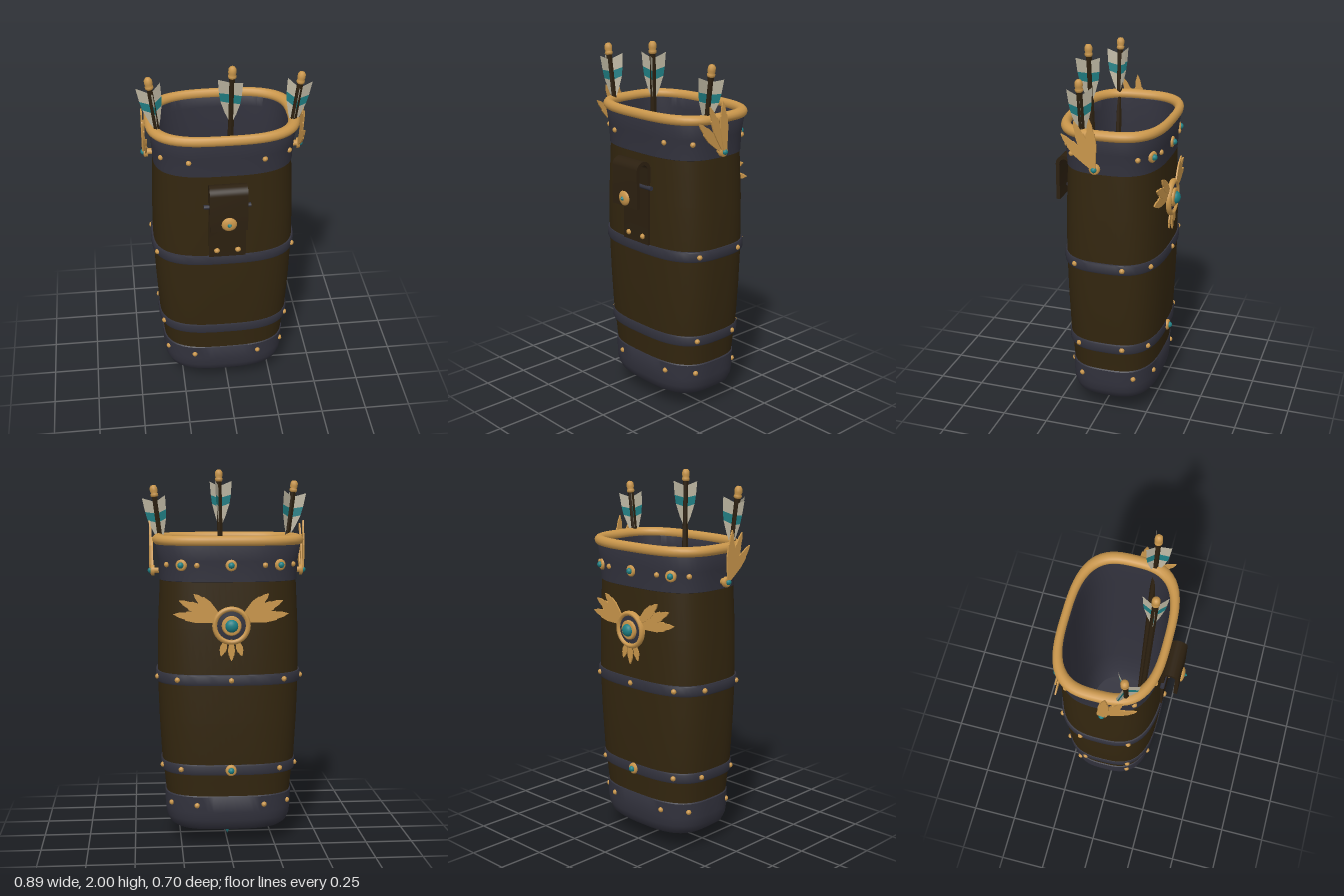
import * as THREE from 'three';
import { toCreasedNormals, mergeVertices } from 'three/addons/utils/BufferGeometryUtils.js';

const mat = (name, color, side = THREE.FrontSide) => {
  const m = new THREE.MeshStandardMaterial({ color, side });
  m.name = name;
  return m;
};
const UP = new THREE.Vector3(0, 1, 0);
const POWER = 3;      // roundness of the squarish oval section
const DEPTH = 0.705;  // depth of the section relative to its width

export function createModel() {
  const leather = mat('brown leather', 0x33260f);
  const strapLeather = mat('dark strap leather', 0x2c2010);
  const slate = mat('slate leather', 0x32323d);
  const gold = mat('gold', 0xc9964b);
  const teal = mat('teal gem', 0x1d7f84);
  const vaneWhite = mat('pale feather', 0xbab39f, THREE.DoubleSide);
  const vaneTeal = mat('teal feather', 0x1f7d82, THREE.DoubleSide);

  const root = new THREE.Group();
  root.name = 'quiver';
  const body = new THREE.Group();
  body.name = 'quiverBody';
  body.position.set(-0.01, 0, -0.034);
  root.add(body);

  const add = (parent, name, geo, material, x = 0, y = 0, z = 0) => {
    const m = new THREE.Mesh(geo, material);
    m.name = name;
    m.position.set(x, y, z);
    parent.add(m);
    return m;
  };
  const lathe = (pts, seg) => new THREE.LatheGeometry(pts.map(p => new THREE.Vector2(...p)), seg);

  // Lathe reshaped to a squarish oval; profile is [half width, height]
  const shell = (name, profile, material) => {
    const geo = lathe(profile, 72);
    const p = geo.attributes.position;
    for (let i = 0; i < p.count; i++) {
      const x = p.getX(i), z = p.getZ(i), r = Math.hypot(x, z);
      if (r < 1e-6) continue;
      const k = r / Math.pow(Math.abs(x) ** POWER + Math.abs(z) ** POWER, 1 / POWER);
      p.setXYZ(i, x * k, p.getY(i), z * k * DEPTH);
    }
    geo.deleteAttribute('uv');
    geo.deleteAttribute('normal');
    return add(body, name, toCreasedNormals(mergeVertices(geo, 1e-5), 0.7), material);
  };

  // Walls, lining and cuffs
  shell('leatherBody', [[0.335, 0.26], [0.345, 0.36], [0.358, 0.46], [0.37, 0.68], [0.378, 0.92],
    [0.374, 1.18], [0.362, 1.43]], leather);
  shell('lining', [[0.362, 1.63], [0.345, 1.615], [0.341, 1.56], [0.338, 1.42], [0.348, 0.92],
    [0.325, 0.4], [0.305, 0.2], [0.27, 0.14], [0, 0.13]], slate);
  shell('bottomCuff', [[0, 0.08], [0.25, 0.08], [0.29, 0.088], [0.318, 0.108], [0.335, 0.145],
    [0.341, 0.19], [0.343, 0.275], [0.334, 0.283]], slate);
  shell('topCuff', [[0.355, 1.42], [0.366, 1.425], [0.367, 1.45], [0.372, 1.53], [0.385, 1.61],
    [0.376, 1.63]], slate);
  const rim = [];
  for (let i = 0; i <= 14; i++) {
    const a = (i / 14) * Math.PI * 2;
    rim.push([0.37 + 0.031 * Math.cos(a), 1.633 + 0.027 * Math.sin(a)]);
  }
  shell('goldRim', rim, gold);
  const strapBand = (name, y, r) => shell(name, [[r - 0.02, y - 0.03], [r - 0.004, y - 0.028],
    [r, y - 0.02], [r, y + 0.02], [r - 0.004, y + 0.028], [r - 0.02, y + 0.03]], slate);
  strapBand('middleBand', 0.912, 0.389);
  strapBand('lowerBand', 0.427, 0.364);

  // Domed stud pointing along dir, with an optional gem
  const stud = (name, pos, dir, R, gem) => {
    const s = new THREE.Group();
    s.name = name;
    s.position.copy(pos);
    s.quaternion.setFromUnitVectors(UP, dir.clone().normalize());
    add(s, 'studCap', lathe(gem
      ? [[R, -0.01], [R, R * 0.2], [R * 0.82, R * 0.36], [R * 0.6, R * 0.4], [0, R * 0.42]]
      : [[R, -0.008], [R, R * 0.3], [R * 0.7, R * 0.75], [0, R]], 14), gold);
    if (gem) add(s, 'studGem', new THREE.SphereGeometry(R * 0.55, 12, 8), teal, 0, R * 0.42, 0);
    body.add(s);
    return s;
  };
  const rivet = (y, r, degrees, gem = false) => {
    const a = THREE.MathUtils.degToRad(degrees), c = Math.cos(a), s = Math.sin(a);
    const k = Math.pow(Math.abs(c / r) ** POWER + Math.abs(s / (r * DEPTH)) ** POWER, -1 / POWER);
    const x = c * k, z = s * k;
    const normal = new THREE.Vector3(Math.sign(x) * Math.abs(x / r) ** 2, 0,
      Math.sign(z) * Math.abs(z / (r * DEPTH)) ** 2 / DEPTH);
    stud(gem ? 'gemStud' : 'rivet', new THREE.Vector3(x, y, z), normal, gem ? 0.03 : 0.014, gem);
  };
  for (const side of [0, 1]) {
    const turn = d => (side ? 180 - d : d);
    for (const d of [52, 28, -28, -55]) rivet(1.51, 0.371, turn(d));
    for (const d of [52, 23, -26, -52]) rivet(0.23, 0.342, turn(d));
    for (const d of [23, -16, -40]) {
      rivet(0.912, 0.389, turn(d));
      rivet(0.427, 0.364, turn(d));
    }
    rivet(1.51, 0.371, turn(-42), true);
  }
  rivet(1.51, 0.371, -90, true);
  rivet(0.427, 0.364, -90, true);
  rivet(0.912, 0.389, -90);

  // Thin gold feather growing from (x0,y0) to (x1,y1) in its parent's plane
  const feather = (parent, x0, y0, x1, y1, w) => {
    const L = Math.hypot(x1 - x0, y1 - y0);
    const half = [[0.3, 0], [0.7, 0.25], [1, 0.5], [0.85, 0.72], [0.65, 0.74], [0.45, 0.88]];
    const pts = [...half.map(([a, b]) => [a * w, b * L]), [0, L],
      ...half.slice().reverse().map(([a, b]) => [-a * w, b * L])];
    const shape = new THREE.Shape(pts.map(p => new THREE.Vector2(...p)));
    const geo = new THREE.ExtrudeGeometry(shape, { depth: 0.008, bevelEnabled: false });
    geo.translate(0, 0, -0.004);
    const m = add(parent, 'goldFeather', geo, gold, x0, y0, 0);
    m.rotation.z = -Math.atan2(x1 - x0, y1 - y0);
    return m;
  };

  // Feather wings on both sides of the top cuff
  for (const s of [-1, 1]) {
    const wing = new THREE.Group();
    wing.name = s > 0 ? 'leftWing' : 'rightWing';
    wing.position.set(s * 0.4, 1.465, 0.029);
    wing.rotation.y = -Math.PI / 2;
    body.add(wing);
    [[0.175, 0.17], [0.105, 0.245], [0.022, 0.265]].forEach(([x, y], i) => {
      feather(wing, 0, -0.005, x, y, 0.027).position.z = -s * i * 0.007;
    });
    stud('wingStud', new THREE.Vector3(s * 0.4, 1.465, 0.029), new THREE.Vector3(s, 0, 0), 0.028, true);
    const post = add(body, 'wingPost', new THREE.CylinderGeometry(0.016, 0.016, 0.05, 10), gold, s * 0.382, 1.465, 0.029);
    post.rotation.z = Math.PI / 2;
  }

  // Back medallion with side wings and a small tail
  const crest = new THREE.Group();
  crest.name = 'backMedallion';
  crest.position.set(0, 1.2, -0.262);
  crest.rotation.y = Math.PI;
  body.add(crest);
  for (const s of [-1, 1]) {
    const fan = new THREE.Group();
    fan.name = 'medallionWing';
    fan.rotation.y = s * 0.05;
    fan.position.z = 0.006;
    crest.add(fan);
    [[0.3, 0.06], [0.27, 0.13], [0.195, 0.165]].forEach(([x, y], i) => {
      feather(fan, s * 0.06, 0.025 + 0.01 * i, s * x, y, 0.028).position.z = i * 0.003;
    });
  }
  [[-0.055, -0.16], [0, -0.185], [0.055, -0.16]].forEach(([x, y], i) => {
    feather(crest, x * 0.5, -0.07, x, y, 0.018).position.z = 0.008 + (i % 2) * 0.003;
  });
  const disc = new THREE.Group();
  disc.name = 'medallionDisc';
  disc.rotation.x = Math.PI / 2;
  crest.add(disc);
  add(disc, 'medallionRim', lathe([[0.097, -0.01], [0.1, 0.012], [0.092, 0.024], [0.08, 0.024], [0.074, 0.012]], 32), gold);
  add(disc, 'medallionInlay', lathe([[0.08, 0.012], [0.045, 0.016]], 32), slate);
  add(disc, 'medallionBoss', lathe([[0.052, 0.008], [0.051, 0.024], [0.044, 0.03], [0, 0.03]], 24), gold);
  const gem = add(disc, 'medallionGem', new THREE.SphereGeometry(0.034, 16, 10), teal, 0, 0.028, 0);
  gem.scale.y = 0.75;

  // Folded belt loop on the front, as a side profile extruded across
  const loop = new THREE.Shape();
  const lz = 0.3035, ly = 1.3525;
  loop.moveTo(0.256, 0.94);
  loop.lineTo(0.276, 0.94);
  loop.lineTo(0.276, ly);
  loop.absarc(lz, ly, 0.0275, Math.PI, 0, true);
  loop.lineTo(0.331, 1.15);
  loop.lineTo(0.351, 1.15);
  loop.lineTo(0.351, ly);
  loop.absarc(lz, ly, 0.0475, 0, Math.PI, false);
  const loopGeo = new THREE.ExtrudeGeometry(loop, { depth: 0.196, bevelEnabled: false, curveSegments: 10 });
  loopGeo.translate(0, 0, -0.098);
  loopGeo.rotateY(-Math.PI / 2);
  add(body, 'beltLoop', toCreasedNormals(loopGeo, 0.6), strapLeather);
  const pin = add(body, 'loopPin', new THREE.CylinderGeometry(0.012, 0.012, 0.245, 10), slate, 0, 1.255, 0.272);
  pin.rotation.z = Math.PI / 2;
  const front = new THREE.Vector3(0, 0, 1);
  for (const s of [-1, 1]) stud('loopRivet', new THREE.Vector3(s * 0.056, 0.98, 0.276), front, 0.015, false);
  const concho = new THREE.Group();
  concho.name = 'loopButton';
  concho.position.set(0, 1.195, 0.35);
  concho.rotation.x = Math.PI / 2;
  body.add(concho);
  add(concho, 'buttonCap', lathe([[0.038, 0], [0.04, 0.006], [0.03, 0.014], [0.014, 0.018], [0, 0.018]], 20), gold);
  add(concho, 'buttonGem', new THREE.ConeGeometry(0.013, 0.016, 8), teal, 0, 0.024, 0);

  // Finial under the base, and its ring on the inner floor
  add(body, 'finial', lathe([[0, 0.024], [0.018, 0.026], [0.022, 0.038], [0.034, 0.044], [0.036, 0.054],
    [0.05, 0.06], [0.052, 0.072], [0.046, 0.085]], 20), gold);
  const tip = add(body, 'finialGem', new THREE.ConeGeometry(0.016, 0.032, 8), teal, 0, 0.016, 0);
  tip.rotation.x = Math.PI;
  const ring = add(body, 'floorRing', new THREE.TorusGeometry(0.059, 0.004, 8, 32), gold, 0, 0.136, 0);
  ring.rotation.x = Math.PI / 2;

  // Arrows: nock position, foot position and turn of the vanes
  const quad = pts => new THREE.ShapeGeometry(new THREE.Shape(pts.map(p => new THREE.Vector2(...p))));
  const arrow = (nock, foot, turn) => {
    const top = new THREE.Vector3(...nock), axis = top.clone().sub(new THREE.Vector3(...foot));
    const L = axis.length();
    const a = new THREE.Group();
    a.name = 'arrow';
    a.position.copy(top);
    a.quaternion.setFromUnitVectors(UP, axis.normalize());
    root.add(a);
    const shaft = new THREE.CylinderGeometry(0.016, 0.016, L - 0.04, 6).toNonIndexed();
    shaft.computeVertexNormals();
    add(a, 'shaft', shaft, strapLeather, 0, -(L + 0.04) / 2, 0);
    add(a, 'nock', lathe([[0.016, -0.062], [0.021, -0.056], [0.021, -0.046], [0.017, -0.042],
      [0.021, -0.03], [0.02, -0.012], [0.012, 0], [0, 0.002]], 12), gold);
    for (let i = 0; i < 3; i++) {
      const vane = new THREE.Group();
      vane.name = 'fletching';
      vane.rotation.y = -THREE.MathUtils.degToRad(turn + i * 120);
      a.add(vane);
      add(vane, 'vaneTop', quad([[0.01, -0.085], [0.01, -0.15], [0.066, -0.135], [0.073, -0.06]]), vaneWhite);
      add(vane, 'vaneStripe', quad([[0.01, -0.15], [0.01, -0.198], [0.058, -0.182], [0.066, -0.135]]), vaneTeal);
      add(vane, 'vaneBottom', quad([[0.01, -0.198], [0.01, -0.3], [0.034, -0.25], [0.058, -0.182]]), vaneWhite);
    }
  };
  arrow([0.024, 1.998, 0.148], [-0.01, 0.14, 0.09], 50);
  arrow([-0.388, 1.94, 0.104], [-0.161, 0.14, 0.078], 80);
  arrow([0.383, 1.915, 0.075], [0.147, 0.14, 0.06], 100);

  return root;
}
